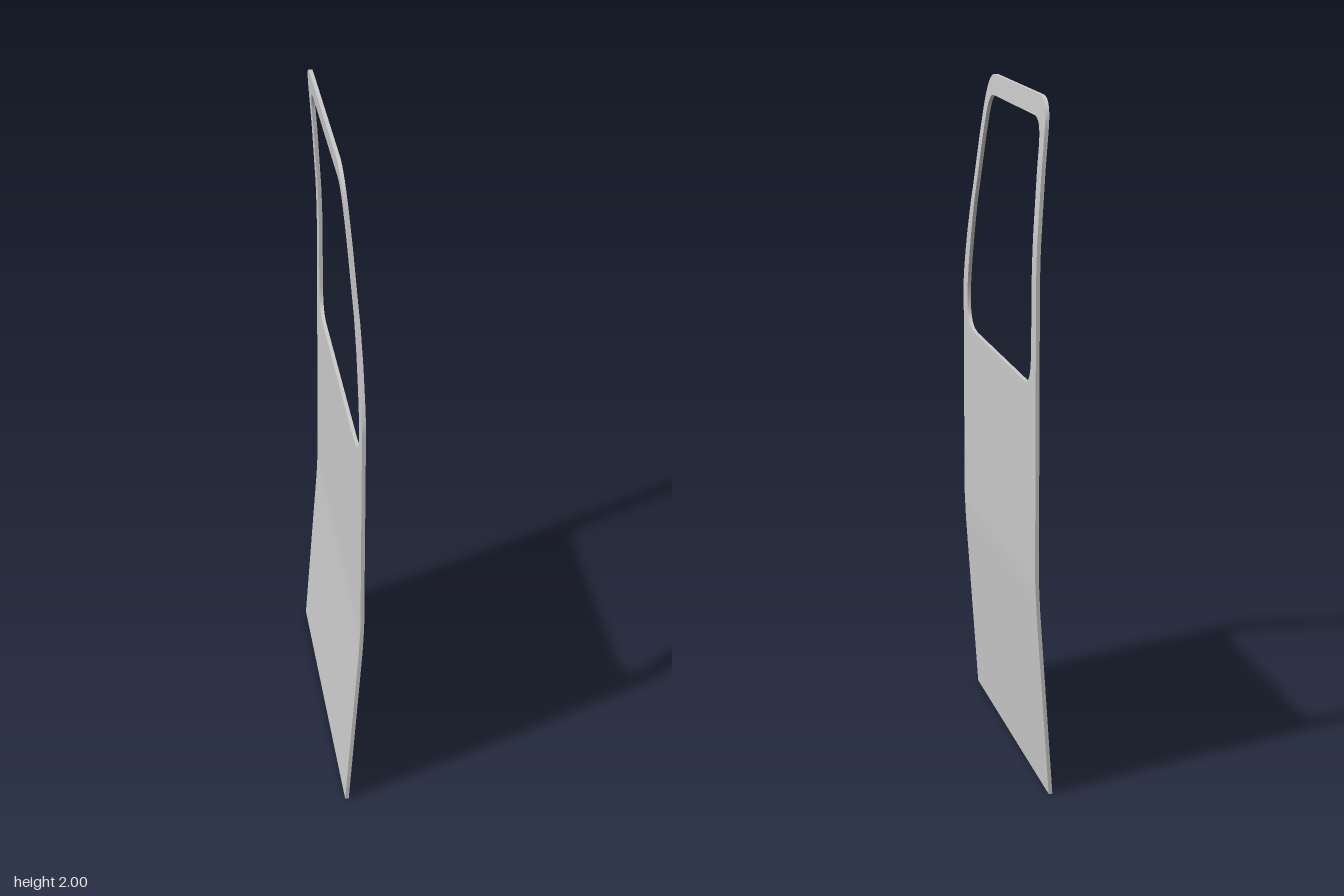
import * as THREE from 'three';

const THICK = 0.011;

// Bow of the outer skin: [height, x]
const BOW = [[0, -0.0165], [0.56, 0.022], [0.65, 0.026], [1.5, 0.026], [1.6, 0.0235], [1.8, 0.012], [2, -0.003]];
function skinX(y) {
  let i = 1;
  while (i < BOW.length - 1 && y > BOW[i][0]) i++;
  const [y0, x0] = BOW[i - 1], [y1, x1] = BOW[i];
  return x0 + (x1 - x0) * (y - y0) / (y1 - y0);
}

// Samples a path of [z, y] ends, or [ctrlZ, ctrlY, z, y] for rounded corners
function trace(start, segments, steps = 8) {
  const points = [new THREE.Vector2(...start)];
  let from = points[0];
  for (const s of segments) {
    const to = new THREE.Vector2(...s.slice(-2));
    const curve = s.length === 4
      ? new THREE.QuadraticBezierCurve(from, new THREE.Vector2(s[0], s[1]), to)
      : new THREE.LineCurve(from, to);
    points.push(...curve.getPoints(steps).slice(1));
    from = to;
  }
  return points;
}

// Bowed sheet of metal between two edges, closed by walls and optional end caps
function sheet(name, a, b, capped, material) {
  const pos = [], index = [];
  const skin = (p) => [skinX(p.y), p.y, p.x];
  const inside = (p) => [skinX(p.y) - THICK, p.y, p.x];
  const strip = (left, right) => {
    const base = pos.length / 3;
    left.forEach((p, i) => pos.push(...p, ...right[i]));
    for (let i = 0; i < left.length - 1; i++) {
      const k = base + i * 2;
      index.push(k, k + 1, k + 3, k, k + 3, k + 2);
    }
  };
  const ao = a.map(skin), ai = a.map(inside), bo = b.map(skin), bi = b.map(inside);
  strip(ao, bo);
  strip(bi, ai);
  strip(ai, ao);
  strip(bo, bi);
  if (capped) {
    const n = a.length - 1;
    strip([ai[0], ao[0]], [bi[0], bo[0]]);
    strip([ao[n], ai[n]], [bo[n], bi[n]]);
  }
  const geometry = new THREE.BufferGeometry();
  geometry.setAttribute('position', new THREE.Float32BufferAttribute(pos, 3));
  geometry.setIndex(index);
  geometry.computeVertexNormals();
  const mesh = new THREE.Mesh(geometry, material);
  mesh.name = name;
  return mesh;
}

export function createModel() {
  const group = new THREE.Group();
  group.name = 'vehicleDoor';
  const material = new THREE.MeshStandardMaterial({ color: 0xcccccc, side: THREE.DoubleSide });
  const front = 0.47, rear = -0.468, sill = 1.196;

  // Lower door panel, up to the window sill
  const rows = [0, 0.28, 0.56, 0.605, 0.65, 0.9, sill];
  group.add(sheet('doorPanel',
    rows.map((y) => new THREE.Vector2(front, y)),
    rows.map((y) => new THREE.Vector2(rear, y)), true, material));

  // Window frame: outer edge and opening, traced from the front over the top to the rear
  const outer = trace([front, sill], [
    [front, 1.317],
    [front, 1.36, 0.42, 1.475],
    [0.352, 1.64],
    [0.272, 1.89],
    [0.235, 1.998, 0.16, 2],
    [-0.385, 2],
    [rear, 2, rear, 1.915],
    [rear, 1.62],
    [rear, 1.3],
    [rear, sill],
  ]);
  const opening = trace([0.31, sill], [
    [0.415, sill, 0.415, 1.28],
    [0.415, 1.35, 0.367, 1.47],
    [0.31, 1.64],
    [0.238, 1.86],
    [0.213, 1.94, 0.155, 1.94],
    [-0.345, 1.94],
    [-0.418, 1.94, -0.418, 1.865],
    [-0.418, 1.62],
    [-0.418, 1.4, -0.412, 1.29],
    [-0.41, sill, -0.335, sill],
  ]);
  group.add(sheet('windowFrame', outer, opening, false, material));

  return group;
}
